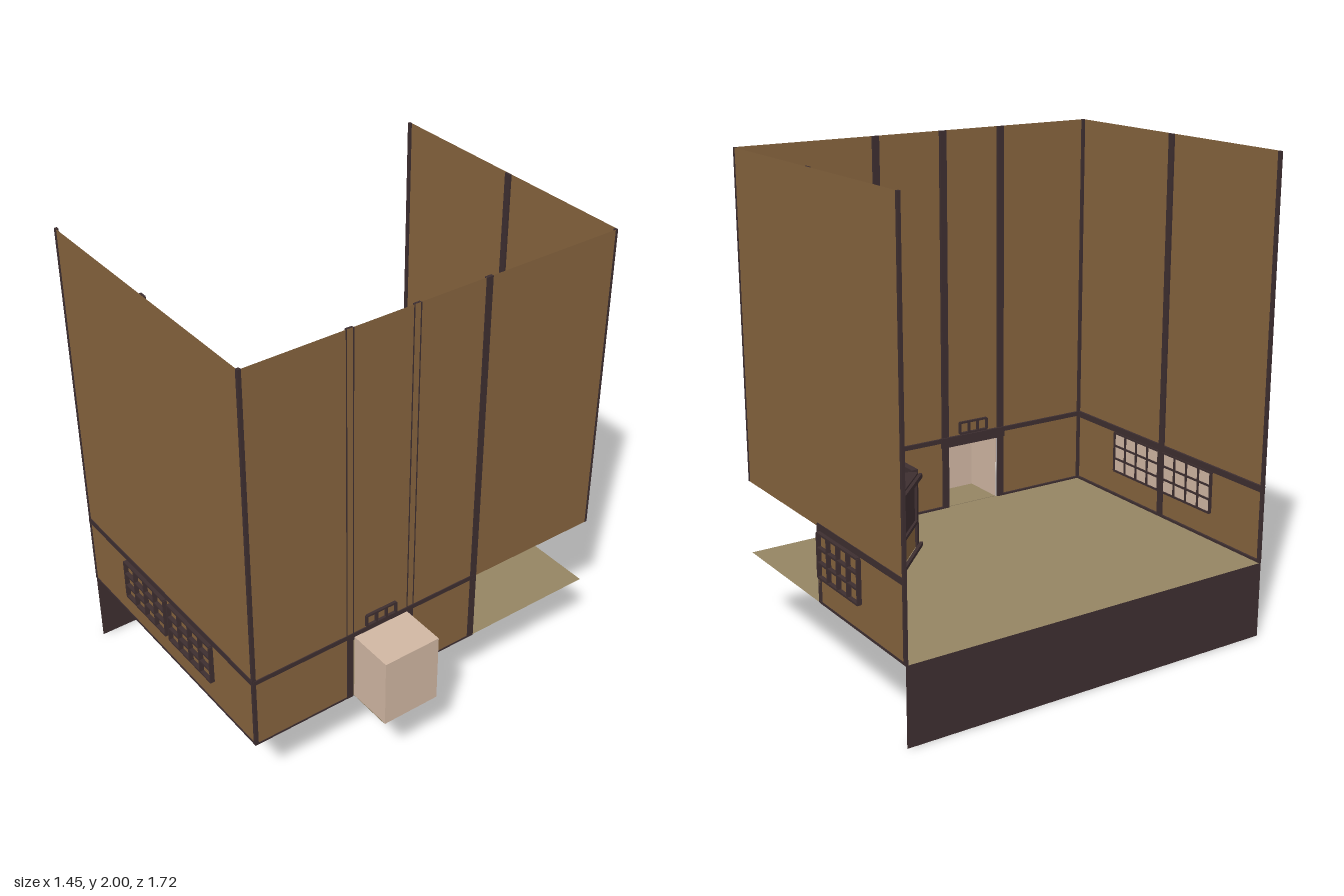
import * as THREE from 'three';

const mat = (name, color, side = THREE.DoubleSide) => {
  const m = new THREE.MeshStandardMaterial({ color, side });
  m.name = name;
  return m;
};

export function createModel() {
  const brown = mat('wall brown', 0x85633d);
  const ceilingBrown = mat('ceiling brown', 0x85633d, THREE.FrontSide);
  const dark = mat('dark timber', 0x3d2e30);
  const straw = mat('straw floor', 0x948463);
  const paper = mat('pale paper', 0xd0b6a2);
  const room = new THREE.Group();
  room.name = 'room';

  const L = -0.725, R = 0.525, F = 0.84, B = -0.84; // room bounds
  const Y0 = 0.325, Y1 = 0.64, TOP = 2;             // floor, lintel, wall top

  const add = (name, geo, material, parent = room) => {
    const m = new THREE.Mesh(geo, material);
    m.name = name;
    parent.add(m);
    return m;
  };
  // box from its bounds
  const box = (name, x0, x1, y0, y1, z0, z1, material = dark, parent = room) => {
    const m = add(name, new THREE.BoxGeometry(x1 - x0, y1 - y0, z1 - z0), material, parent);
    m.position.set((x0 + x1) / 2, (y0 + y1) / 2, (z0 + z1) / 2);
    return m;
  };
  const flat = (name, pts, material) =>
    add(name, new THREE.ShapeGeometry(new THREE.Shape(pts.map(p => new THREE.Vector2(...p)))), material);

  // square lattice window, centred on its own origin
  const lattice = (name, w, h, cols, rows, depth, x, y, z, turn = 0) => {
    const g = new THREE.Group();
    g.name = name;
    const t = 0.004;
    for (let i = 0; i <= cols; i++) {
      const u = -w / 2 + (w * i) / cols;
      box('latticeUpright', u - t, u + t, -h / 2, h / 2, -depth / 2, depth / 2, dark, g);
    }
    for (let j = 0; j <= rows; j++) {
      const v = -h / 2 + (h * j) / rows;
      box('latticeRail', -w / 2, w / 2, v - t, v + t, -depth / 2, depth / 2, dark, g);
    }
    g.position.set(x, y, z);
    g.rotation.y = turn;
    room.add(g);
  };

  // floor and the skirt below the open side
  const floor = flat('floor', [[L, -F], [R, -F], [R, -B], [L, -B]], straw);
  floor.rotation.x = -Math.PI / 2;
  floor.position.y = Y0;
  const skirt = add('skirt', new THREE.PlaneGeometry(F - B, Y0), dark);
  skirt.rotation.y = Math.PI / 2;
  skirt.position.set(L, Y0 / 2, 0);

  // front wall, back wall cut away over the porch
  flat('frontWall', [[L, Y0], [R, Y0], [R, TOP], [L, TOP]], brown).position.z = F;
  flat('backWall', [[L, Y0], [-0.08, Y0], [-0.08, Y1], [R, Y1], [R, TOP], [L, TOP]], brown).position.z = B;
  // right wall, drawn in (-z, y), with alcove opening and porch cut
  const right = flat('rightWall', [[-F, Y0], [-0.38, Y0], [-0.38, 0.63], [-0.12, 0.63], [-0.12, Y0],
    [0.22, Y0], [0.22, Y1], [-B, Y1], [-B, TOP], [-F, TOP]], brown);
  right.rotation.y = Math.PI / 2;
  right.position.x = R;

  // lintels and sills
  box('frontLintel', L, R, 0.628, 0.655, F - 0.01, F + 0.003);
  box('frontSill', L, R, Y0, 0.335, F - 0.01, F + 0.002);
  box('backLintel', L, -0.08, 0.628, 0.655, B - 0.003, B + 0.01);
  box('backSill', L, -0.08, Y0, 0.335, B - 0.002, B + 0.01);
  box('rightLintel', R - 0.01, R + 0.004, 0.632, 0.652, -0.22, F);
  for (const [a, b] of [[0.38, F], [-0.22, 0.12]])
    box('rightSill', R - 0.01, R + 0.002, Y0, 0.333, a, b);

  // posts: corners, inner posts and the porch post
  box('cornerPost', L, L + 0.014, Y0, TOP, F - 0.01, F + 0.002);
  box('cornerPost', R - 0.012, R + 0.002, Y0, TOP, F - 0.012, F + 0.002);
  box('cornerPost', R - 0.012, R + 0.001, Y1, TOP, B - 0.001, B + 0.01);
  box('cornerPost', L, L + 0.014, Y0, TOP, B - 0.002, B + 0.01);
  box('frontPost', -0.1, -0.07, Y0, TOP, F - 0.01, F - 0.001);
  box('backPost', -0.1, -0.07, Y0, TOP, B + 0.001, B + 0.01);
  for (const z of [0.395, 0.105]) {
    box('sidePost', R - 0.01, R - 0.001, Y0, TOP, z - 0.015, z + 0.015);
    box('sidePostFoot', R - 0.01, R + 0.003, Y0, Y1, z - 0.015, z + 0.015);
    for (const e of [-0.015, 0.015])
      box('sidePostEdge', R - 0.001, R + 0.002, Y1, TOP, z + e - 0.002, z + e + 0.002);
  }
  box('porchPost', R - 0.01, R + 0.003, Y0, TOP, -0.232, -0.202);

  // front and back windows, paper on the room side
  for (const [x, z, s] of [[-0.255, F, 1], [0.085, F, 1], [-0.255, B, -1]]) {
    lattice('window', 0.31, 0.18, 4, 3, 0.03, x, 0.533, z + s * 0.003);
    box('windowPaper', x - 0.15, x + 0.15, 0.445, 0.622, z - s * 0.004 - 0.002, z - s * 0.004 + 0.002, paper);
  }

  // alcove projecting from the right wall, open to the room
  box('alcoveBack', 0.72, 0.725, Y0, 0.63, 0.12, 0.375, paper);
  box('alcoveTop', R, 0.72, 0.625, 0.63, 0.12, 0.375, paper);
  for (const z of [0.12, 0.37]) box('alcoveSide', R, 0.72, Y0, 0.625, z, z + 0.005, paper);
  box('alcoveFloor', R, 0.72, Y0 - 0.002, Y0 + 0.002, 0.12, 0.375, straw);
  box('alcoveHeader', 0.508, 0.52, 0.61, 0.655, 0.08, 0.41);
  lattice('transom', 0.14, 0.05, 3, 1, 0.024, R, 0.685, 0.25, Math.PI / 2);

  // porch side walls: solid below, open lattice above
  box('porchWallLow', -0.1, -0.07, Y0, 0.435, B, -0.55);
  box('porchWallHead', -0.1, -0.07, 0.628, 0.65, B, -0.55);
  lattice('porchWindow', 0.29, 0.195, 4, 3, 0.016, -0.085, 0.532, -0.695, Math.PI / 2);
  box('porchWallLow', 0.24, R, Y0, 0.435, -0.235, -0.205);
  box('porchWallHead', 0.24, R, 0.628, 0.65, -0.235, -0.205);
  lattice('porchWindow', 0.285, 0.195, 4, 3, 0.016, 0.3825, 0.532, -0.22);
  box('porchWallPost', -0.1, -0.07, Y0, 0.65, -0.565, -0.55);
  box('porchWallPost', 0.24, 0.255, Y0, 0.65, -0.235, -0.205);

  // diagonal entrance across the corner; local +z faces outward
  const entry = new THREE.Group();
  entry.name = 'entrance';
  entry.position.set(0.078, -0 , -0.382);
  entry.rotation.y = Math.PI * 0.75;
  room.add(entry);
  box('entryHead', -0.19, 0.19, 0.615, 0.65, -0.02, 0.04, dark, entry);
  box('entryPanel', -0.19, 0.19, 0.435, 0.615, -0.01, 0.005, dark, entry);
  box('entryShelf', -0.19, 0.19, 0.43, 0.445, -0.02, 0.04, dark, entry);
  box('entryDado', -0.18, 0.18, Y0, 0.43, -0.01, 0.005, brown, entry);
  for (const s of [-1, 1])
    box('entryPost', s * 0.19 - 0.012, s * 0.19 + 0.012, Y0, 0.65, -0.02, 0.02, dark, entry);
  box('entryRail', -0.21, 0.21, 0.625, 0.645, -0.036, -0.022, dark, entry);
  box('entrySill', -0.21, 0.21, Y0, 0.34, -0.036, -0.022, dark, entry);

  // porch ceiling, seen only from below; drawn in (x, z)
  const ceiling = flat('porchCeiling', [[-0.08, B], [R, B], [R, -0.22], [0.22, -0.22], [-0.08, -0.52]], ceilingBrown);
  ceiling.rotation.x = Math.PI / 2;
  ceiling.position.y = Y1 + 0.008;

  return room;
}
